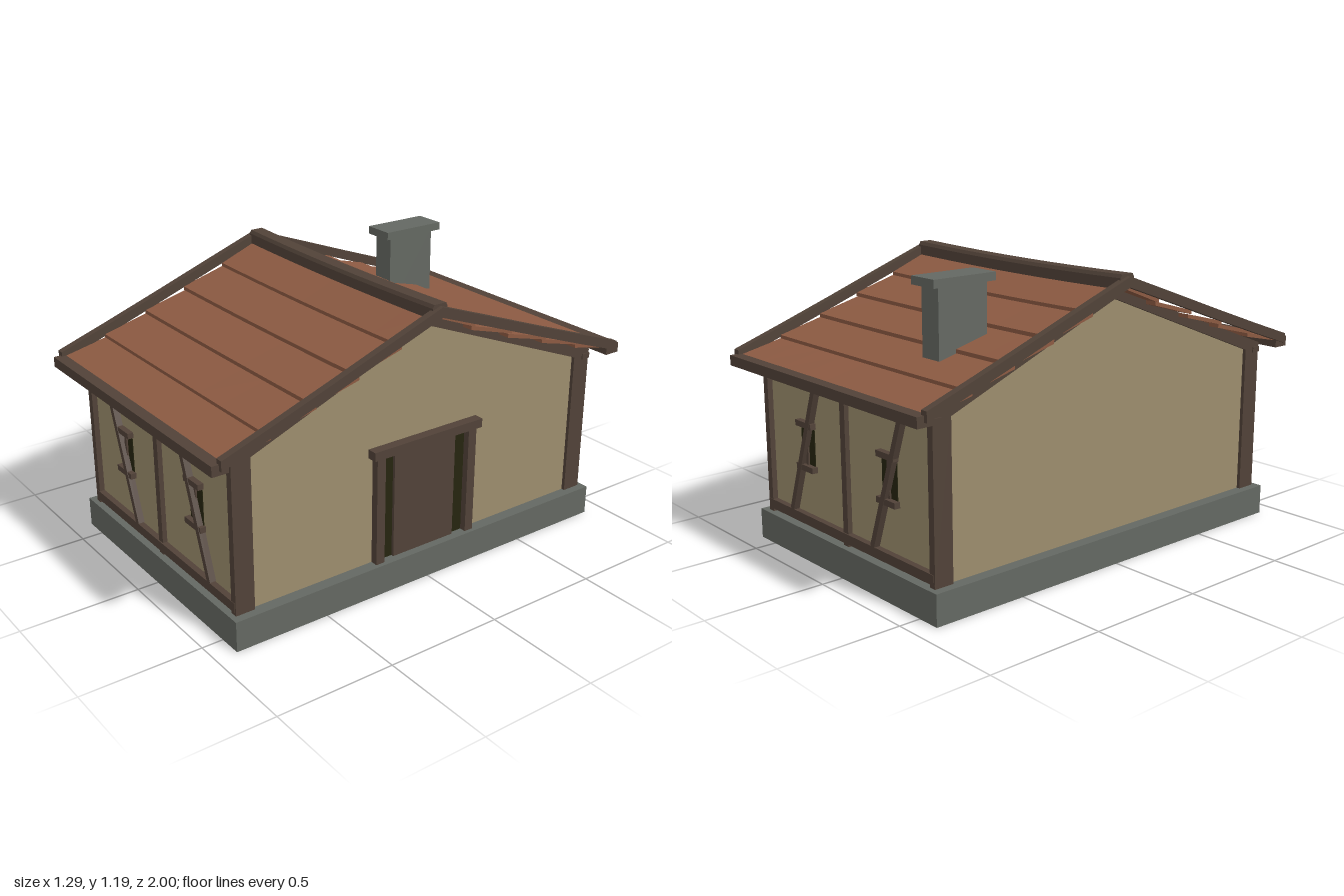
import * as THREE from 'three';

const mat = (name, color) => {
  const m = new THREE.MeshStandardMaterial({ color });
  m.name = name;
  return m;
};

export function createModel() {
  const house = new THREE.Group();
  house.name = 'cottage';
  const plaster = mat('plaster', 0x9c8d6d);
  const wood = mat('dark timber', 0x514238);
  const stone = mat('grey stone', 0x646862);
  const tile = mat('roof tile', 0x8c5a42);
  const dark = mat('dark opening', 0x25240f);

  const add = (name, geometry, material) => {
    const mesh = new THREE.Mesh(geometry, material);
    mesh.name = name;
    house.add(mesh);
    return mesh;
  };

  // Box given by its limits on each axis
  const box = (name, material, x0, x1, y0, y1, z0, z1) => {
    const mesh = add(name, new THREE.BoxGeometry(Math.abs(x1 - x0), Math.abs(y1 - y0), Math.abs(z1 - z0)), material);
    mesh.position.set((x0 + x1) / 2, (y0 + y1) / 2, (z0 + z1) / 2);
    return mesh;
  };

  // Outline of [z, y] points drawn out along x; sagging parts dip mid-span, most at the ridge
  const prism = (name, material, points, x0, x1, sag = 0) => {
    const shape = new THREE.Shape(points.map(([z, y]) => new THREE.Vector2(z, y)));
    const g = new THREE.ExtrudeGeometry(shape, { depth: x1 - x0, steps: sag ? 8 : 1, bevelEnabled: false });
    g.rotateY(-Math.PI / 2).translate(x1, 0, 0);
    if (sag) {
      const p = g.attributes.position;
      for (let i = 0; i < p.count; i++) {
        const rise = Math.max(0, (p.getY(i) - 0.8) / 0.37);
        p.setY(i, p.getY(i) - sag * rise * (1 - (p.getX(i) / 0.63) ** 2));
      }
      g.computeVertexNormals();
    }
    return add(name, g, material);
  };

  // Foundation and walls
  box('foundation', stone, -0.6, 0.6, 0, 0.127, -0.91, 0.91);
  prism('walls', plaster, [[-0.865, 0.12], [0.865, 0.12], [0.865, 0.75], [0, 1.075], [-0.865, 0.75]], -0.55, 0.55);

  // Gable trim and corner posts
  for (const s of [-1, 1]) {
    const [a, b] = s > 0 ? [0.535, 0.565] : [-0.565, -0.535];
    prism('gableTrim', wood, [[-0.89, 0.775], [0, 1.108], [0.89, 0.775], [0.89, 0.735], [0.8, 0.755],
      [0, 1.07], [-0.8, 0.755], [-0.89, 0.735]], a, b);
    for (const f of [-1, 1]) box('cornerPost', wood, a, b, 0.127, 0.77, f * 0.805, f * 0.888);
  }

  // Timber framing and windows on both eave walls
  for (const s of [-1, 1]) {
    box('sillBeam', wood, -0.56, 0.56, 0.14, 0.18, s * 0.85, s * 0.89);
    box('topBeam', wood, -0.57, 0.57, 0.735, 0.758, s * 0.85, s * 0.89);
    box('middlePost', wood, -0.016, 0.016, 0.127, 0.74, s * 0.85, s * 0.885);
    for (const c of [-0.282, 0.282]) {
      const brace = box('diagonalBrace', wood, c - 0.012, c + 0.012, 0.164, 0.746, s * 0.855, s * 0.892);
      brace.rotation.z = Math.atan2(0.195, 0.55);
    }
    for (const c of [-0.276, 0.274]) {
      box('windowOpening', dark, c - 0.047, c + 0.047, 0.385, 0.55, s * 0.864, s * 0.868);
      box('windowMullion', wood, c - 0.008, c + 0.008, 0.385, 0.55, s * 0.86, s * 0.875);
      box('windowLintel', wood, c - 0.055, c + 0.055, 0.546, 0.57, s * 0.86, s * 0.89);
      box('windowSill', wood, c - 0.058, c + 0.058, 0.367, 0.391, s * 0.86, s * 0.89);
    }
  }

  // Door on one gable end
  box('doorOpening', dark, 0.549, 0.554, 0.127, 0.59, -0.215, 0.215);
  box('doorPanel', wood, 0.549, 0.566, 0.127, 0.582, -0.153, 0.153);
  for (const s of [-1, 1]) box('doorJamb', wood, 0.545, 0.582, 0.127, 0.59, s * 0.21, s * 0.25);
  box('doorLintel', wood, 0.545, 0.592, 0.588, 0.625, -0.27, 0.27);

  // Overlapping roof courses: [inner z, inner y, outer z, outer y]
  const SAG = 0.01;
  const courses = [
    [0, 1.13, 0.19, 1.055],
    [0.17, 1.046, 0.385, 0.985],
    [0.365, 0.971, 0.575, 0.917],
    [0.555, 0.906, 0.77, 0.851],
    [0.75, 0.841, 0.96, 0.795],
  ];
  const verge = [[0, 1.165], [0.25, 1.074], [0.5, 0.982], [0.75, 0.892], [0.97, 0.815]];
  for (const s of [-1, 1]) {
    for (const [z0, y0, z1, y1] of courses) {
      prism('roofCourse', tile, [[s * z0, y0], [s * z1, y1], [s * z1, y1 - 0.016], [s * z0, y0 - 0.016]], -0.615, 0.615, SAG);
    }
    // Verge boards along both roof edges, and the eave board
    const outline = [...verge, ...verge.slice().reverse().map(([z, y]) => [z, y - 0.042])].map(([z, y]) => [s * z, y]);
    prism('vergeBoard', wood, outline, 0.612, 0.643);
    prism('vergeBoard', wood, outline, -0.643, -0.612);
    box('eaveBoard', wood, -0.627, 0.627, 0.755, 0.797, s * 0.93, s);
  }
  prism('ridgeBeam', wood, [[-0.036, 1.117], [0.036, 1.117], [0.036, 1.16], [0.028, 1.174], [-0.028, 1.174], [-0.036, 1.16]],
    -0.625, 0.625, SAG);

  // Chimney
  box('chimneyStack', stone, -0.308, -0.208, 0.82, 1.16, -0.655, -0.425);
  box('chimneyCap', stone, -0.325, -0.19, 1.155, 1.188, -0.688, -0.395);

  return house;
}
